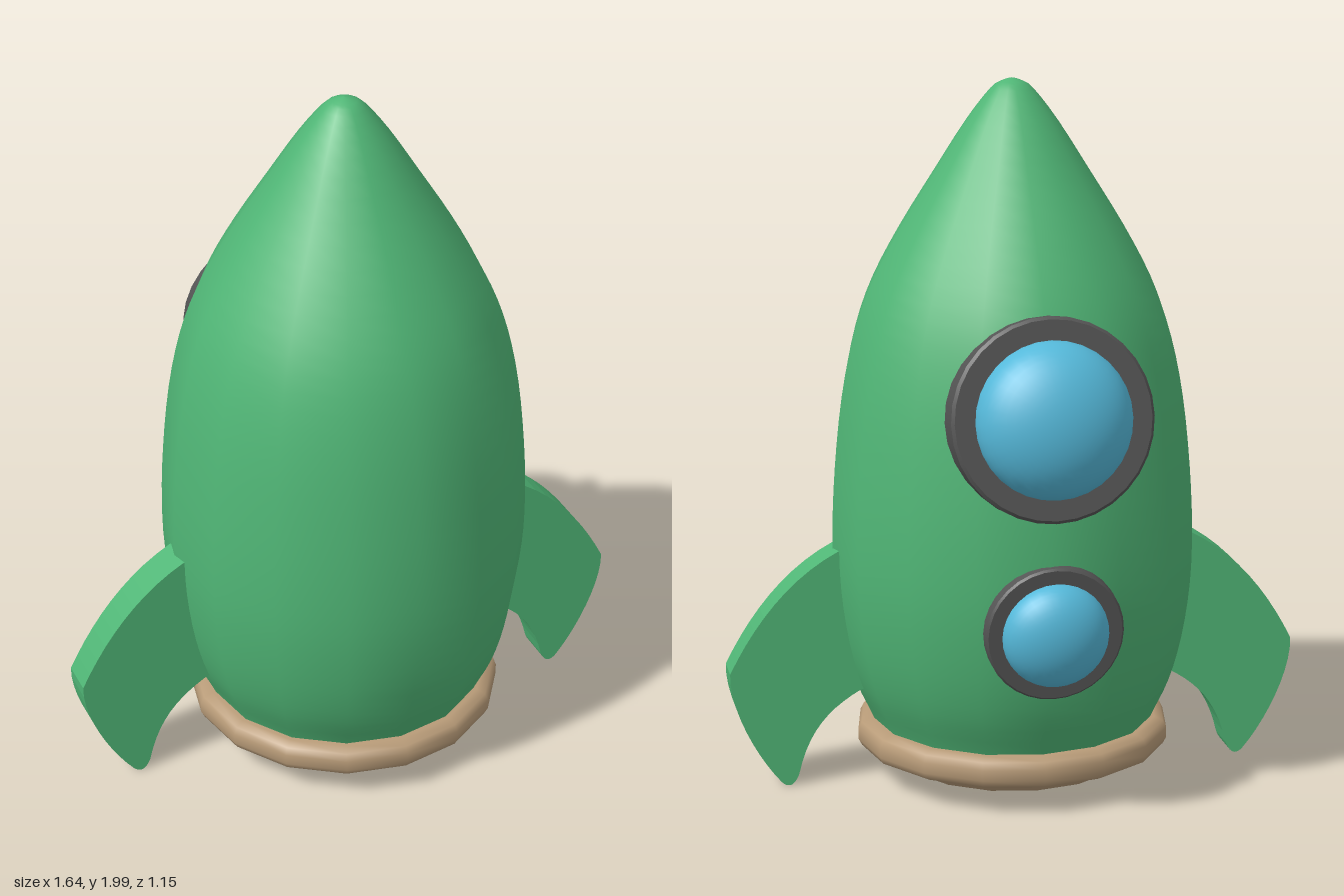
import * as THREE from 'three';

const AXIS_Z = 0.055;
const SIDES = 16;
const mat = (color) => new THREE.MeshStandardMaterial({ color });
const green = mat(0x50b676), tan = mat(0xb89b78), dark = mat(0x555555), blue = mat(0x55b9da);

function add(parent, name, geometry, material) {
  const mesh = new THREE.Mesh(geometry, material);
  mesh.name = name;
  parent.add(mesh);
  return mesh;
}
const points = (list) => list.map(([x, y]) => new THREE.Vector2(x, y));

// Round window: a ring with a glass dome, facing local +y
function porthole(name, radius, depth, bulge) {
  const g = new THREE.Group();
  g.name = name;
  const inner = radius * 0.77, b = radius * 0.03;
  add(g, 'windowRing', new THREE.LatheGeometry(points([
    [inner, -depth], [radius, -depth], [radius, -depth], [radius, -b], [radius, -b],
    [radius - b, 0], [radius - b, 0], [inner, 0], [inner, 0], [inner, -depth],
  ]), 32), dark);
  const dome = new THREE.SphereGeometry(1, 32, 12, 0, Math.PI * 2, 0, Math.PI / 2);
  dome.scale(inner, bulge, inner);
  add(g, 'windowGlass', dome, blue);
  return g;
}

// Swept fin pointing to +x, with a flat thickness
function finGeometry() {
  const s = new THREE.Shape();
  s.moveTo(0.38, 0.72);
  s.lineTo(0.51, 0.69);
  s.bezierCurveTo(0.65, 0.62, 0.75, 0.49, 0.82, 0.35);
  s.bezierCurveTo(0.825, 0.25, 0.75, 0.1, 0.68, 0.02);
  s.quadraticCurveTo(0.65, -0.01, 0.63, 0.04);
  s.bezierCurveTo(0.6, 0.17, 0.54, 0.23, 0.45, 0.28);
  s.lineTo(0.38, 0.3);
  s.closePath();
  const geo = new THREE.ExtrudeGeometry(s, { depth: 0.104, bevelEnabled: false, curveSegments: 10 });
  return geo.translate(0, 0, AXIS_Z - 0.052);
}

export function createModel() {
  const model = new THREE.Group();
  model.name = 'rocket';

  // Hull: a smooth ogive with sixteen sides
  const hullCurve = new THREE.SplineCurve(points([
    [0.39, 0.14], [0.41, 0.19], [0.455, 0.29], [0.49, 0.42], [0.512, 0.58], [0.516, 0.74],
    [0.507, 0.92], [0.485, 1.12], [0.45, 1.29], [0.40, 1.43], [0.32, 1.58],
    [0.22, 1.74], [0.13, 1.88], [0.06, 1.97], [0.025, 1.993], [0, 2],
  ]));
  const hullPoints = hullCurve.getPoints(45);
  hullPoints.forEach((p) => { p.x = Math.max(p.x, 0); });
  add(model, 'hull', new THREE.LatheGeometry(hullPoints, SIDES), green).position.z = AXIS_Z;

  // Base: rounded collar and shallow bowl beneath it
  add(model, 'baseCollar', new THREE.LatheGeometry(points([
    [0, 0.01], [0.15, 0.012], [0.25, 0.022], [0.33, 0.043], [0.37, 0.065], [0.395, 0.088],
    [0.42, 0.086], [0.44, 0.096], [0.45, 0.115], [0.45, 0.145], [0.44, 0.165],
    [0.415, 0.176], [0.37, 0.176],
  ]), SIDES), tan).position.z = AXIS_Z;

  // Fins on both sides
  const fin = finGeometry();
  add(model, 'leftFin', fin, green);
  add(model, 'rightFin', fin, green).rotation.y = Math.PI;
  model.getObjectByName('rightFin').position.z = AXIS_Z * 2;

  // Windows on the back, tilted to follow the hull
  const big = porthole('upperWindow', 0.278, 0.1, 0.137);
  big.position.set(-0.01, 1.145, -0.437);
  big.rotation.x = -Math.PI / 2 + 0.162;
  const small = porthole('lowerWindow', 0.191, 0.07, 0.094);
  small.position.set(-0.01, 0.556, -0.4625);
  small.rotation.x = -Math.PI / 2 - 0.091;
  model.add(big, small);

  return model;
}
